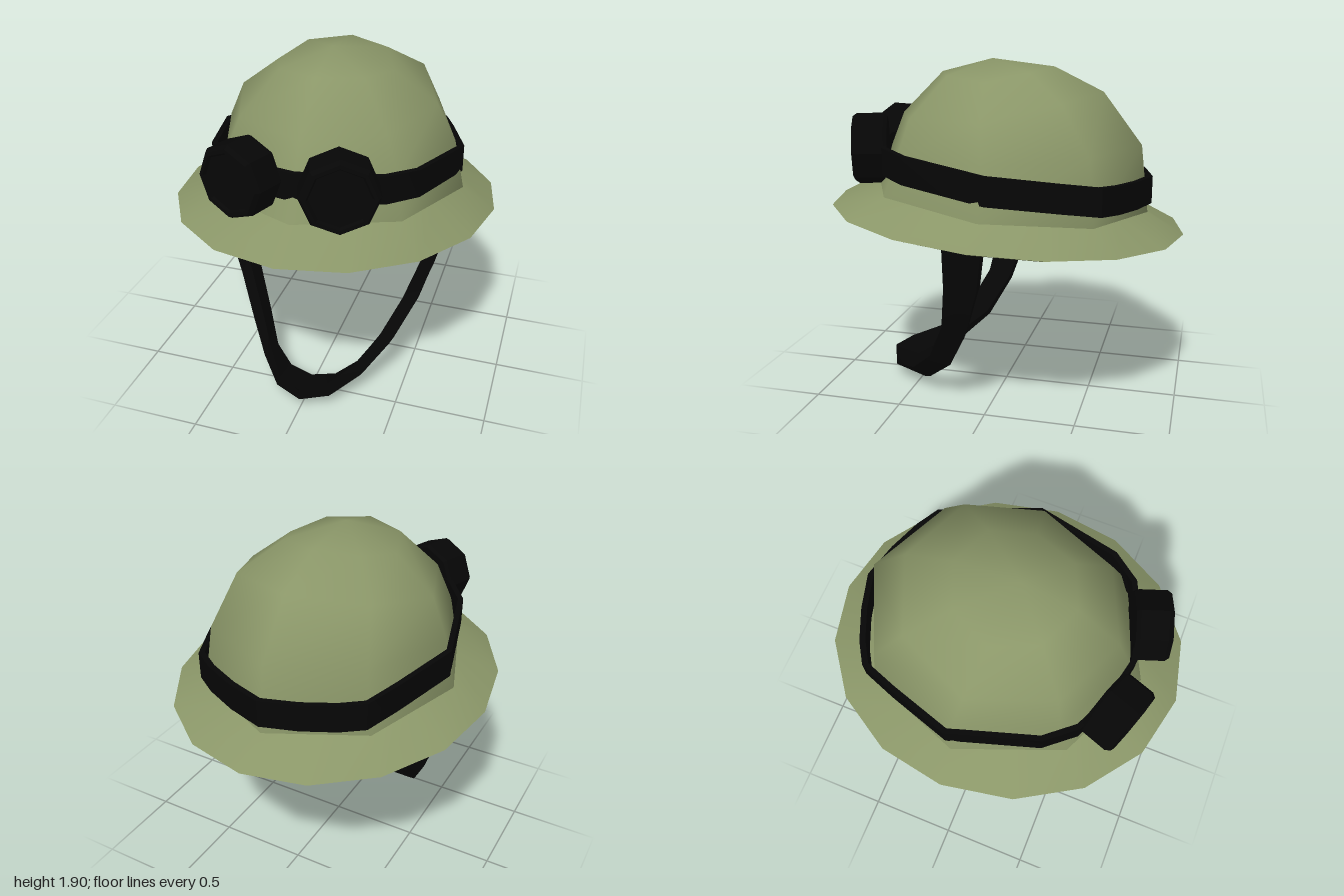
import * as THREE from 'three';
import { toCreasedNormals } from 'three/addons/utils/BufferGeometryUtils.js';

const green = new THREE.MeshStandardMaterial({ color: 0x8a9668 });
const black = new THREE.MeshStandardMaterial({ color: 0x060606 });

// Skin a list of cross-sections, each a closed loop of [x, y, z] points
function loft(rings, crease, caps = false) {
  const n = rings[0].length;
  const index = [];
  for (let i = 0; i < rings.length - 1; i++) {
    for (let j = 0; j < n; j++) {
      const k = (j + 1) % n;
      const a = i * n + j, b = i * n + k, c = b + n, d = a + n;
      index.push(a, b, c, a, c, d);
    }
  }
  if (caps) {
    const e = (rings.length - 1) * n;
    for (let j = 1; j < n - 1; j++) index.push(0, j + 1, j, e, e + j, e + j + 1);
  }
  const geometry = new THREE.BufferGeometry();
  geometry.setAttribute('position', new THREE.Float32BufferAttribute(rings.flat(2), 3));
  geometry.setIndex(index);
  return toCreasedNormals(geometry.toNonIndexed(), crease);
}

// Egg-shaped ring with its own reach and height at the sides, front and back
function ring(n, rx, zMid, front, back, ySide, yFront, yBack) {
  return Array.from({ length: n }, (_, i) => {
    const a = (i / n) * Math.PI * 2;
    const s = -Math.sin(a);
    const z = s > 0 ? zMid + (front - zMid) * s : zMid + (zMid - back) * s;
    const y = ySide + ((s > 0 ? yFront : yBack) - ySide) * Math.abs(s);
    return [rx * Math.cos(a), y, z];
  });
}

function part(name, geometry, material) {
  const mesh = new THREE.Mesh(geometry, material);
  mesh.name = name;
  return mesh;
}

function makeDome() {
  return part('dome', loft([
    ring(8, 0.71, -0.03, 0.78, -0.8, 1.14, 1.22, 1.08),
    ring(8, 0.65, -0.03, 0.69, -0.755, 1.41, 1.4, 1.45),
    ring(8, 0.55, 0, 0.61, -0.54, 1.615, 1.59, 1.73),
    ring(8, 0.32, 0.04, 0.37, -0.27, 1.79, 1.825, 1.86),
    ring(8, 0, 0.08, 0.08, 0.08, 1.9, 1.9, 1.9),
  ], 1.2), green);
}

function makeBrim() {
  // Inner edge follows the eight-sided dome, with a point halfway along each side
  const base = ring(8, 0.71, -0.03, 0.78, -0.8, 1.14, 1.22, 1.08);
  const inner = base.flatMap((p, i) => {
    const q = base[(i + 1) % 8];
    return [p, p.map((v, k) => (v + q[k]) / 2)];
  });
  // From the shallow hollow underneath, out to the rim and back up to the dome
  return part('brim', loft([
    ring(16, 0, 0, 0, 0, 1.08, 1.08, 1.08),
    ring(16, 0.55, -0.01, 0.62, -0.63, 1.05, 1.09, 1.01),
    ring(16, 0.81, -0.01, 0.9, -0.9, 1.008, 1.07, 0.945),
    ring(16, 0.89, -0.02, 1, -1, 1.036, 1.105, 0.965),
    inner,
  ], 0.6), green);
}

// Tilted strap around the dome
function makeBand() {
  const half = [[0, 0.72], [0.22, 0.67], [0.435, 0.575], [0.56, 0.42], [0.695, -0.06],
    [0.575, -0.42], [0.5, -0.615], [0.38, -0.69], [0.2, -0.765], [0, -0.82]];
  const loop = [...half, ...half.slice(1, -1).reverse().map(([x, z]) => [-x, z])];
  const rings = loop.map(([x, z]) => {
    const y = 1.305 + 0.12 * z;
    const xi = x * 0.955, zi = z * 0.96;
    return [[xi, y - 0.075, zi], [xi, y + 0.075, zi], [x, y + 0.075, z], [x, y - 0.075, z]];
  });
  return part('goggleBand', loft([...rings, rings[0]], 0.5), black);
}

// Octagonal eyepiece with a chamfered rim and recessed lens
function makeEyepiece(side) {
  const profile = [[0, 0], [0.185, 0], [0.197, 0.02], [0.197, 0.165], [0.18, 0.19],
    [0.16, 0.19], [0.15, 0.175], [0, 0.175]].map(p => new THREE.Vector2(...p));
  const geometry = new THREE.LatheGeometry(profile, 8);
  geometry.rotateX(Math.PI / 2);
  const mesh = part(side > 0 ? 'leftEyepiece' : 'rightEyepiece',
    toCreasedNormals(geometry.toNonIndexed(), 0.4), black);
  mesh.position.set(side * 0.222 - 0.018, 1.41, 0.63);
  mesh.rotation.y = side * 0.34;
  return mesh;
}

// Flat strap hanging below the brim and passing under the chin
function makeChinStrap() {
  // Stations: x, then y and z of the back edge, then y and z of the front edge
  const half = [[0.6, 1.05, -0.035, 1.05, 0.185], [0.577, 0.76, 0.005, 0.76, 0.185],
    [0.49, 0.47, 0.1, 0.51, 0.23], [0.385, 0.255, 0.22, 0.295, 0.34],
    [0.27, 0.12, 0.385, 0.165, 0.49], [0.145, 0.055, 0.47, 0.115, 0.65], [0, 0.036, 0.5, 0.1, 0.71]];
  const path = [...half, ...half.slice(0, -1).reverse().map(([x, ...r]) => [-x, ...r])];
  const rings = path.map(([x, yb, zb, yf, zf], i) => {
    const p = path[Math.max(i - 1, 0)], q = path[Math.min(i + 1, path.length - 1)];
    const t = new THREE.Vector2(q[0] - p[0], (q[1] + q[3] - p[1] - p[3]) / 2).setLength(0.036);
    const nx = -t.y, ny = t.x;
    return [[x + nx, yf + ny, zf], [x - nx, yf - ny, zf], [x - nx, yb - ny, zb], [x + nx, yb + ny, zb]];
  });
  return part('chinStrap', loft(rings, 0.5, true), black);
}

export function createModel() {
  const model = new THREE.Group();
  model.name = 'helmet';
  const goggles = new THREE.Group();
  goggles.name = 'goggles';
  goggles.add(makeBand(), makeEyepiece(1), makeEyepiece(-1));
  model.add(makeDome(), makeBrim(), goggles, makeChinStrap());
  return model;
}
